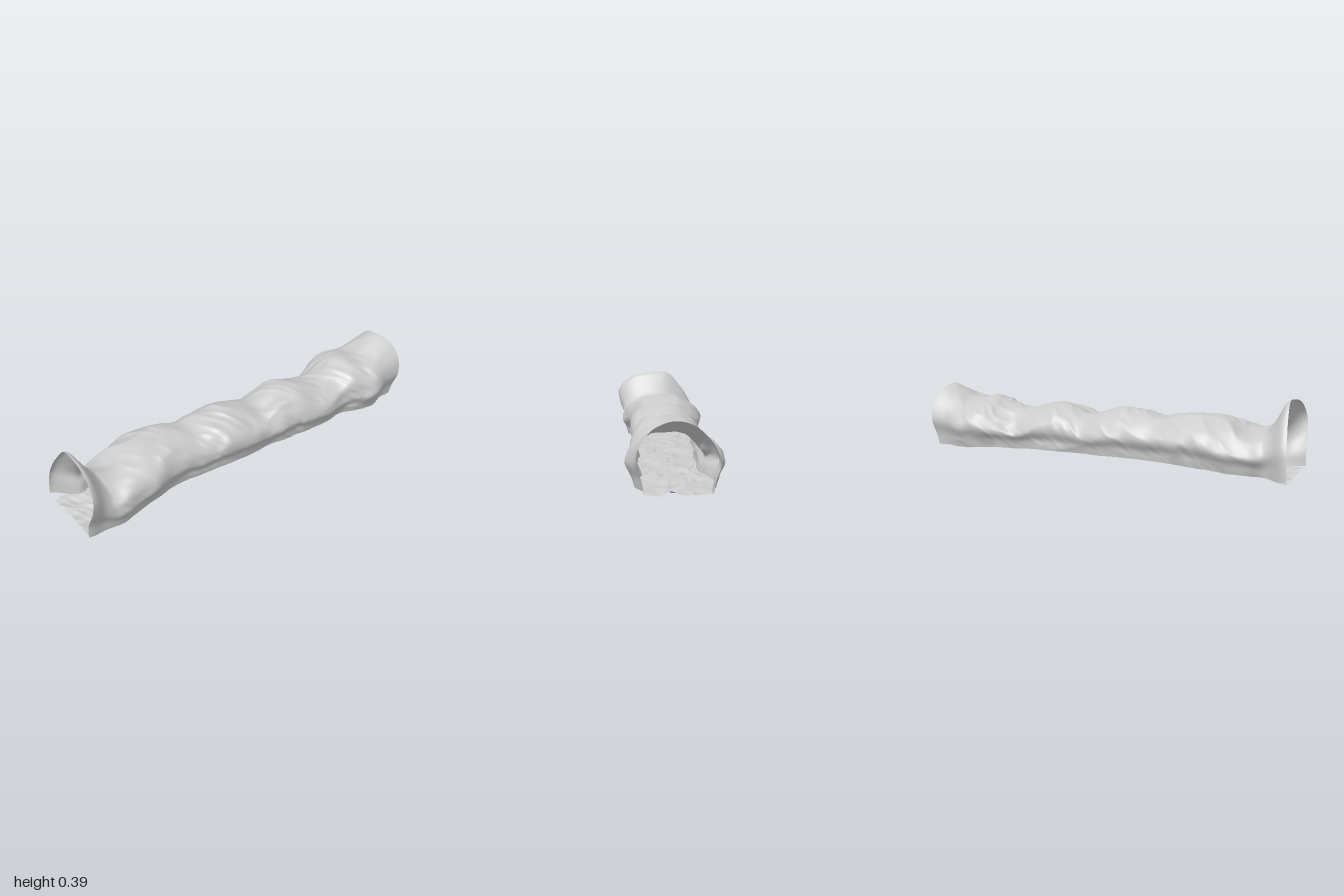
import * as THREE from 'three';

// Stations along the tunnel: z, right-hand edge x, left-hand edge x, floor y, roof y
const STATIONS = [
  [-1.0, -0.20, 0.17, 0.05, 0.37], [-0.9, -0.2, 0.175, 0.05, 0.342], [-0.8, -0.235, 0.215, 0.05, 0.305],
  [-0.7, -0.23, 0.2, 0.055, 0.312], [-0.6, -0.2, 0.17, 0.06, 0.286], [-0.5, -0.165, 0.18, 0.055, 0.262],
  [-0.4, -0.165, 0.185, 0.06, 0.276], [-0.3, -0.17, 0.18, 0.06, 0.296], [-0.2, -0.165, 0.175, 0.06, 0.288],
  [-0.1, -0.17, 0.165, 0.06, 0.253], [0, -0.185, 0.175, 0.06, 0.28], [0.1, -0.19, 0.175, 0.062, 0.298],
  [0.2, -0.187, 0.163, 0.06, 0.285], [0.3, -0.187, 0.155, 0.057, 0.268], [0.4, -0.21, 0.15, 0.057, 0.29],
  [0.5, -0.225, 0.155, 0.052, 0.305], [0.6, -0.235, 0.185, 0.047, 0.29], [0.7, -0.222, 0.2, 0.036, 0.262],
  [0.8, -0.2, 0.22, 0.028, 0.238], [0.87, -0.17, 0.205, 0.022, 0.252], [0.93, -0.18, 0.2, 0.018, 0.295],
  [1.0, -0.235, 0.23, 0.018, 0.39],
];
const ROWS = 240, WALL_COLS = 72, FLOOR_COLS = 36;

const curve = (points) => new THREE.CatmullRomCurve3(points.map(([x, y]) => new THREE.Vector3(x, y, 0)));

// Unit arch, x in -1..1 and y in 0..1, from the -x foot over the roof to the +x foot
const arch = curve([
  [-0.83, 0], [-0.88, 0.2], [-0.99, 0.42], [-0.88, 0.64], [-0.64, 0.83], [-0.34, 0.95], [0, 1],
  [0.37, 0.965], [0.7, 0.85], [0.93, 0.65], [0.98, 0.42], [0.86, 0.2], [0.8, 0],
]);

// Flared, lopsided rim of the front mouth
const rim = curve([
  [-0.235, 0.025], [-0.23, 0.09], [-0.215, 0.17], [-0.175, 0.25], [-0.125, 0.32], [-0.06, 0.385], [0.02, 0.388],
  [0.1, 0.375], [0.18, 0.345], [0.235, 0.28], [0.225, 0.2], [0.18, 0.1], [0.173, 0.03],
]);

// Smooth seeded value noise
const hash = (i, j) => { const s = Math.sin(i * 127.1 + j * 311.7 + 7.3) * 43758.5453; return s - Math.floor(s); };
function noise(x, y) {
  const i = Math.floor(x), j = Math.floor(y), f = x - i, g = y - j;
  const u = f * f * (3 - 2 * f), v = g * g * (3 - 2 * g);
  const a = hash(i, j) + (hash(i + 1, j) - hash(i, j)) * u;
  const b = hash(i, j + 1) + (hash(i + 1, j + 1) - hash(i, j + 1)) * u;
  return (a + (b - a) * v) * 2 - 1;
}
const ridge = (x, y) => 1 - 2 * Math.abs(noise(x, y));

// Catmull-Rom interpolation of the station table
function stationAt(z) {
  let k = 0;
  while (k < STATIONS.length - 2 && STATIONS[k + 1][0] < z) k++;
  const at = (i) => STATIONS[Math.min(STATIONS.length - 1, Math.max(0, i))];
  const [p, a, b, n] = [at(k - 1), at(k), at(k + 1), at(k + 2)];
  const t = (z - a[0]) / (b[0] - a[0]);
  return [1, 2, 3, 4].map((c) => a[c] + 0.5 * t * (b[c] - p[c]
    + t * (2 * p[c] - 5 * a[c] + 4 * b[c] - n[c] + t * (3 * (a[c] - b[c]) + n[c] - p[c]))));
}

const mouth = (z) => THREE.MathUtils.clamp((z - 0.85) / 0.15, 0, 1) ** 1.5;
const calm = (z) => 0.2 + 0.8 * (1 - THREE.MathUtils.smoothstep(Math.abs(z), 0.75, 0.93));

// Point of the wall and roof: u runs around the arch, z along the tunnel
function wallPoint(u, z) {
  const [x0, x1, y0, y1] = stationAt(z);
  const a = arch.getPoint(u), cx = (x0 + x1) / 2, hw = (x1 - x0) / 2;
  const p = new THREE.Vector3(cx + a.x * hw, y0 + a.y * (y1 - y0), z);
  const w = mouth(z);
  if (w > 0) p.lerp(rim.getPoint(u).setZ(z), w);
  // Slanting folds and finer rock relief, pushed along the arch radius
  const s = z * 5 + u * 2.6;
  const d = (0.009 * ridge(s, u * 5 - z * 1.5) + 0.006 * noise(z * 12, u * 9)
    + 0.003 * ridge(s * 3.3, u * 9 + 5) - 0.002) * calm(z);
  const lift = Math.min(1, 8 * Math.min(u, 1 - u));
  p.x += a.x * d * (0.6 + 0.4 * lift);
  p.y += a.y * d * lift;
  p.z += 1.2 * lift * d * (1 - Math.abs(z) ** 6);
  // Slanted front rim, and a back rim notched at the roof and drawn in at the feet
  p.z -= 0.035 * w * a.y * a.y;
  p.z += (0.04 * (1 - a.y) ** 2 + 0.035 * a.y * Math.max(0, 1 - 1.2 * Math.abs(a.x + 0.1)))
    * THREE.MathUtils.smoothstep(-z, 0.85, 1);
  return p;
}

// Point of the floor: u runs from the -x foot to the +x foot
function floorPoint(u, z) {
  const a = wallPoint(0, z), b = wallPoint(1, z), w = mouth(z);
  a.x += (-0.185 - a.x) * w;
  a.y -= 0.02 * w;
  b.y -= 0.008 * w;
  const p = a.lerp(b, u), inside = Math.min(1, 6 * Math.min(u, 1 - u));
  const rough = 0.009 * noise(z * 13, u * 5) + 0.005 * ridge(z * 20 + u * 3, u * 9);
  p.y = Math.max(0, p.y + rough * (0.4 + 0.6 * inside));
  p.x += 0.006 * noise(z * 15, u * 5 + 40);
  // Ragged ends
  if (Math.abs(z) > 0.9) p.z -= Math.sign(z) * 0.012 * (1 + noise(u * 7, 3)) * (Math.abs(z) - 0.9) * 10;
  return p;
}

// Grid surface from a point rule
function surface(rule, cols, flip, name) {
  const pos = [], index = [];
  for (let r = 0; r <= ROWS; r++) {
    for (let c = 0; c <= cols; c++) pos.push(...rule(c / cols, -1 + (2 * r) / ROWS).toArray());
  }
  for (let r = 0; r < ROWS; r++) {
    for (let c = 0; c < cols; c++) {
      const a = r * (cols + 1) + c, b = a + 1, d = a + cols + 1, e = d + 1;
      if (flip) index.push(a, b, d, b, e, d);
      else index.push(a, d, b, b, d, e);
    }
  }
  const geometry = new THREE.BufferGeometry();
  geometry.setAttribute('position', new THREE.Float32BufferAttribute(pos, 3));
  geometry.setIndex(index);
  geometry.computeVertexNormals();
  const mesh = new THREE.Mesh(geometry, new THREE.MeshStandardMaterial({ color: 0xcccccc, side: THREE.DoubleSide }));
  mesh.name = name;
  return mesh;
}

export function createModel() {
  const group = new THREE.Group();
  group.name = 'rockTunnel';
  group.add(surface(wallPoint, WALL_COLS, false, 'wallsAndRoof'));
  group.add(surface(floorPoint, FLOOR_COLS, true, 'floor'));
  return group;
}
